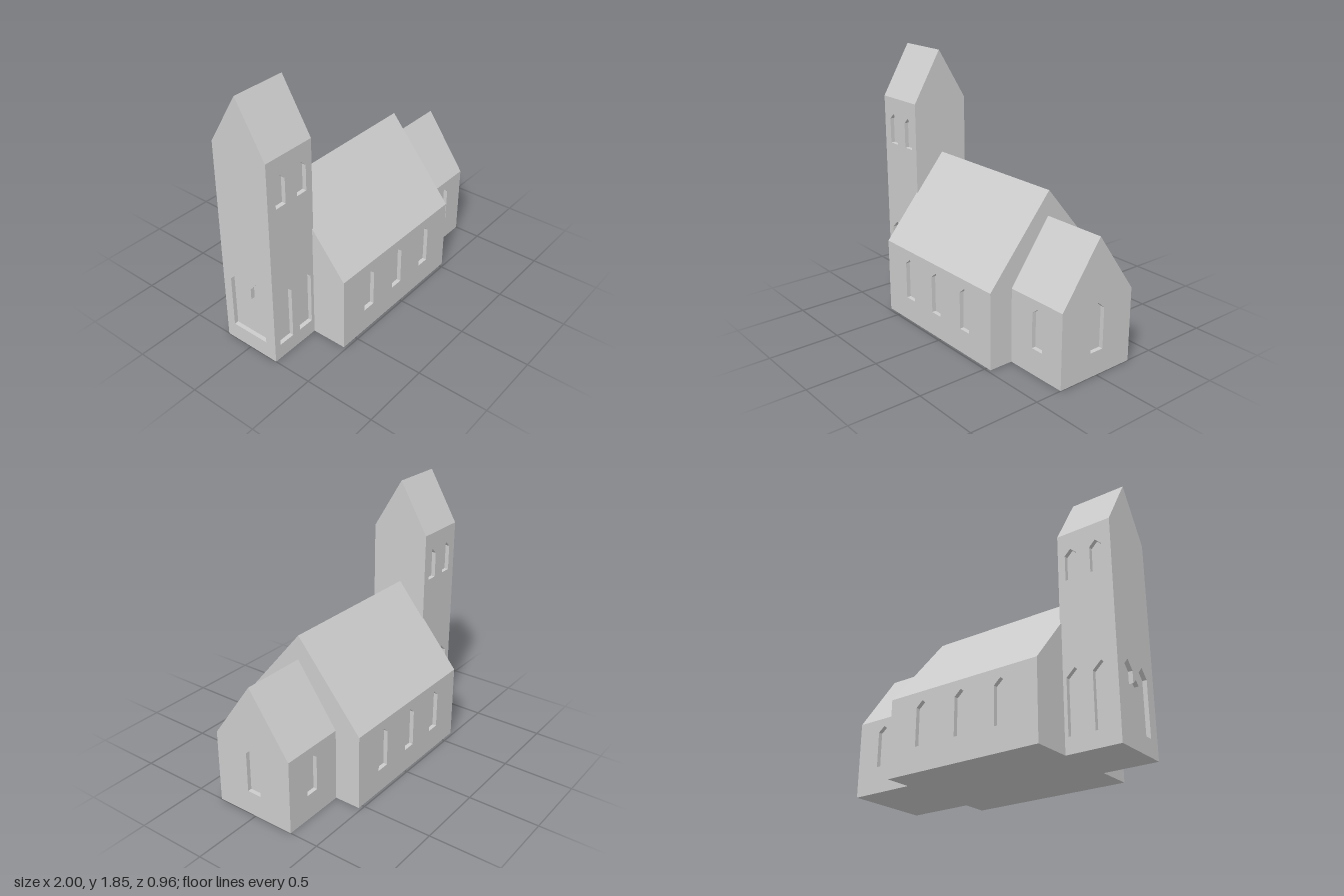
import * as THREE from 'three';
import { mergeGeometries } from 'three/addons/utils/BufferGeometryUtils.js';

const RECESS = 0.03;
const stone = new THREE.MeshStandardMaterial({ color: 0xcccccc, side: THREE.DoubleSide });
stone.name = 'pale stone';

// Flat four-cornered face, corners counter-clockwise seen from outside
function quad(a, b, c, d) {
  const g = new THREE.BufferGeometry();
  g.setAttribute('position', new THREE.Float32BufferAttribute([a, b, c, a, c, d].flat(), 3));
  g.computeVertexNormals();
  return g;
}

// Pointed window outline
const lancet = (x0, x1, sill, shoulder, peak) =>
  [[x0, sill], [x1, sill], [x1, shoulder], [(x0 + x1) / 2, peak], [x0, shoulder]];

// Wall in the xy plane facing +z with recessed openings; flip mirrors it in x
function wall(name, outline, openings, flip = 1) {
  const toPoints = (list) => {
    const pts = list.map(([x, y]) => new THREE.Vector2(x * flip, y));
    return THREE.ShapeUtils.isClockWise(pts) ? pts.reverse() : pts;
  };
  const holes = openings.map(toPoints);
  const shape = new THREE.Shape(toPoints(outline));
  shape.holes = holes.map((h) => new THREE.Path(h));
  const parts = [new THREE.ShapeGeometry(shape).toNonIndexed()];
  for (const h of holes) {
    parts.push(new THREE.ShapeGeometry(new THREE.Shape(h)).toNonIndexed().translate(0, 0, -RECESS));
    h.forEach((a, i) => {
      const b = h[(i + 1) % h.length];
      parts.push(quad([a.x, a.y, 0], [b.x, b.y, 0], [b.x, b.y, -RECESS], [a.x, a.y, -RECESS]));
    });
  }
  parts.forEach((p) => p.deleteAttribute('uv'));
  const mesh = new THREE.Mesh(mergeGeometries(parts), stone);
  mesh.name = name;
  return mesh;
}

// Gabled block with its ridge along x
function gabledBlock(name, { x0, x1, z0, z1, eave, ridge, windows, east = [], west = [] }) {
  const group = new THREE.Group();
  group.name = name;
  const zm = (z0 + z1) / 2;
  const side = [[x0, 0], [x1, 0], [x1, eave], [x0, eave]];
  const gable = [[z0, 0], [z1, 0], [z1, eave], [zm, ridge], [z0, eave]];

  const front = wall('frontWall', side, windows);
  front.position.z = z1;
  const back = wall('backWall', side, windows, -1);
  back.position.z = z0;
  back.rotation.y = Math.PI;
  const eastGable = wall('eastGable', gable, east, -1);
  eastGable.position.x = x1;
  eastGable.rotation.y = Math.PI / 2;
  const westGable = wall('westGable', gable, west);
  westGable.position.x = x0;
  westGable.rotation.y = -Math.PI / 2;

  const roof = new THREE.Mesh(mergeGeometries([
    quad([x0, eave, z1], [x1, eave, z1], [x1, ridge, zm], [x0, ridge, zm]),
    quad([x1, eave, z0], [x0, eave, z0], [x0, ridge, zm], [x1, ridge, zm]),
  ]), stone);
  roof.name = 'roof';
  const base = new THREE.Mesh(quad([x0, 0, z0], [x1, 0, z0], [x1, 0, z1], [x0, 0, z1]), stone);
  base.name = 'base';

  group.add(front, back, eastGable, westGable, roof, base);
  return group;
}

export function createModel() {
  const church = new THREE.Group();
  church.name = 'church';

  // Twin pointed doorway, joined below a small notch
  const doorway = [
    [-0.14, 0.12], [0.145, 0.12], [0.145, 0.5], [0.088, 0.56], [0.035, 0.5], [0.035, 0.42],
    [0.003, 0.45], [-0.03, 0.42], [-0.03, 0.5], [-0.083, 0.56], [-0.14, 0.5],
  ];

  church.add(
    gabledBlock('tower', {
      x0: -1, x1: -0.61, z0: -0.205, z1: 0.225, eave: 1.49, ridge: 1.85,
      windows: [
        lancet(-0.95, -0.83, 0.11, 0.485, 0.54), lancet(-0.765, -0.645, 0.11, 0.485, 0.54),
        lancet(-0.932, -0.847, 1.15, 1.33, 1.37), lancet(-0.748, -0.663, 1.15, 1.33, 1.37),
      ],
      west: [doorway],
    }),
    gabledBlock('nave', {
      x0: -0.62, x1: 0.535, z0: -0.48, z1: 0.48, eave: 0.535, ridge: 1.11,
      windows: [-0.353, -0.047, 0.267].map((x) => lancet(x - 0.048, x + 0.048, 0.17, 0.43, 0.472)),
    }),
    gabledBlock('chancel', {
      x0: 0.535, x1: 1, z0: -0.293, z1: 0.305, eave: 0.52, ridge: 0.94,
      windows: [lancet(0.732, 0.828, 0.182, 0.427, 0.465)],
      east: [lancet(-0.05, 0.057, 0.17, 0.455, 0.503)],
    }),
  );
  return church;
}
